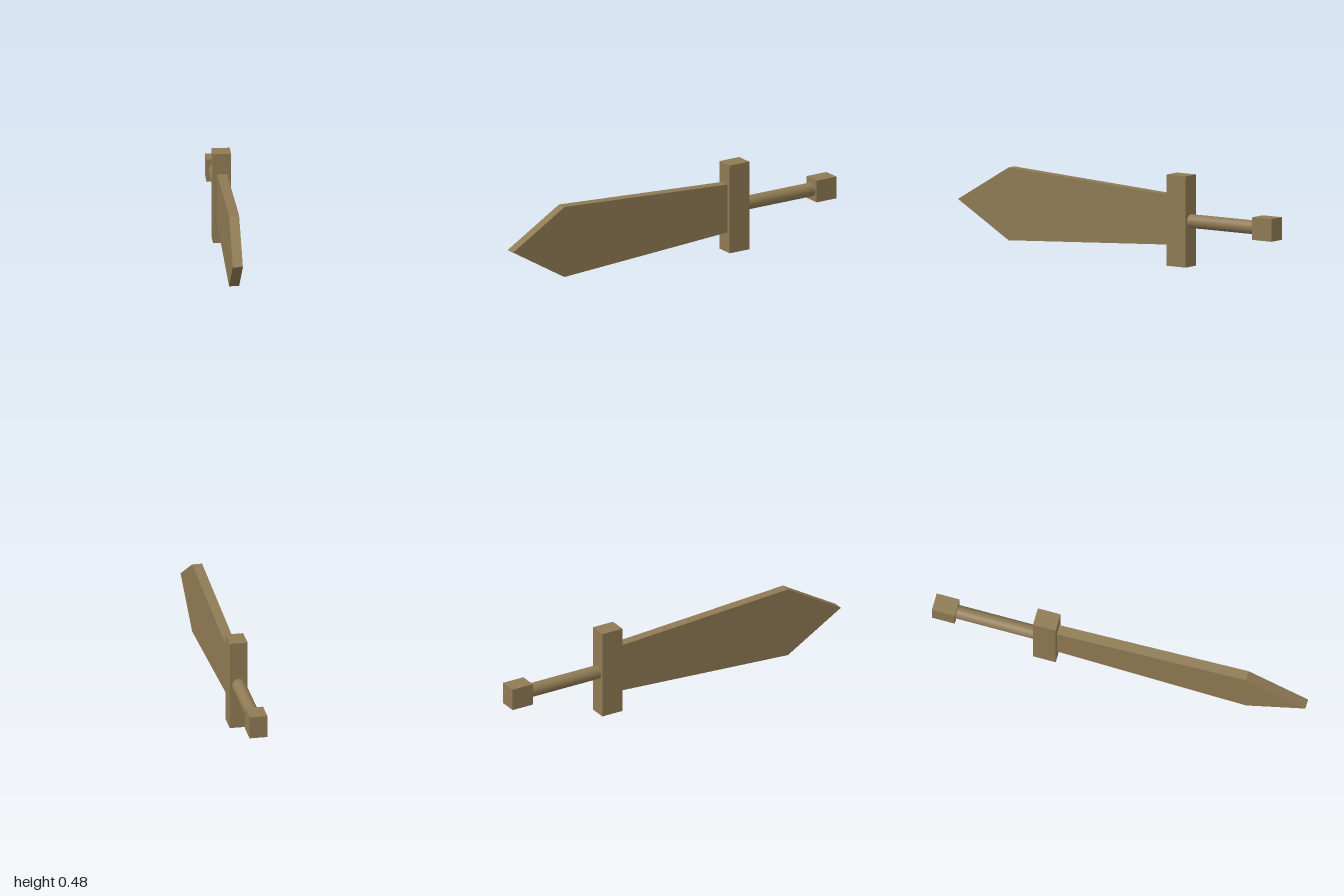
import * as THREE from 'three';

const MID = 0.238; // height of the sword's long axis

export function createModel() {
  const group = new THREE.Group();
  const wood = new THREE.MeshStandardMaterial({ color: 0x8f7a54 });

  const add = (name, geometry, z) => {
    const mesh = new THREE.Mesh(geometry, wood);
    mesh.name = name;
    mesh.position.set(0, MID, z);
    group.add(mesh);
  };

  // Flat blade: outline drawn as (z, y), widening towards the pointed tip
  const outline = new THREE.Shape([
    [-0.335, -0.13], [0.68, -0.19], [1, 0], [0.68, 0.19], [-0.335, 0.13],
  ].map(([z, y]) => new THREE.Vector2(z, y)));
  const thickness = 0.052;
  const blade = new THREE.ExtrudeGeometry(outline, { depth: thickness, bevelEnabled: false });
  blade.translate(0, 0, -thickness / 2).rotateY(-Math.PI / 2);
  add('blade', blade, 0);

  // Cross guard
  add('guard', new THREE.BoxGeometry(0.094, 2 * MID, 0.122), -0.396);

  // Round grip between guard and pommel
  const grip = new THREE.CylinderGeometry(0.036, 0.036, 0.42, 32);
  grip.rotateX(Math.PI / 2);
  add('grip', grip, -0.667);

  // Block pommel
  add('pommel', new THREE.BoxGeometry(0.094, 0.118, 0.123), -0.9385);

  return group;
}
